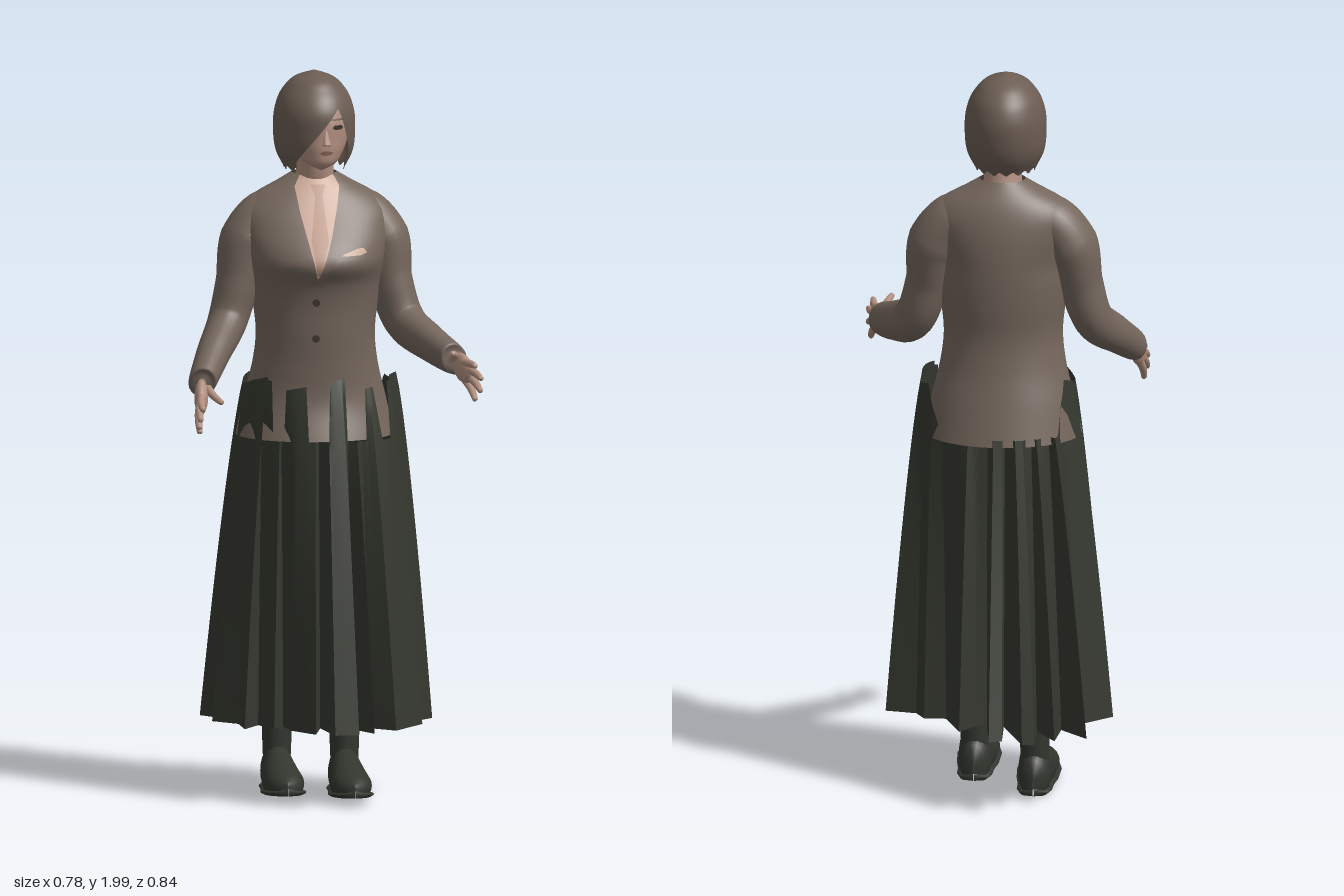
import * as THREE from 'three';
import { toCreasedNormals } from 'three/addons/utils/BufferGeometryUtils.js';

const mat = (name, color, side = THREE.FrontSide) => {
  const m = new THREE.MeshStandardMaterial({ color, side });
  m.name = name;
  return m;
};

// Grid surface from f(u, v) -> [x, y, z]; wraps in u when closed
function loft(nu, nv, f, closed = true) {
  const pos = [], idx = [], cols = closed ? nu : nu + 1;
  for (let j = 0; j <= nv; j++)
    for (let i = 0; i < cols; i++) pos.push(...f(i / nu, j / nv));
  for (let j = 0; j < nv; j++)
    for (let i = 0; i < nu; i++) {
      const k = (i + 1) % cols, a = j * cols + i, b = j * cols + k, c = a + cols, d = b + cols;
      idx.push(a, c, b, b, c, d);
    }
  const g = new THREE.BufferGeometry();
  g.setAttribute('position', new THREE.Float32BufferAttribute(pos, 3));
  g.setIndex(idx);
  g.computeVertexNormals();
  return g;
}

// Upright form from rows [y, half width, front z, back z], lowest row first
function form(cx, rows) {
  const interp = new THREE.CubicInterpolant(rows.map(r => r[0]), rows.flatMap(r => r.slice(1)), 3);
  const at = y => {
    const [hx, zf, zb] = interp.evaluate(y);
    return { hx: Math.max(hx, 0.0005), zc: (zf + zb) / 2, hz: Math.max((zf - zb) / 2, 0.0005) };
  };
  return {
    lo: rows[0][0], hi: rows[rows.length - 1][0],
    point(a, y) {
      const r = at(y);
      return [cx + r.hx * Math.sin(a), y, r.zc + r.hz * Math.cos(a)];
    },
    frontZ(x, y) {
      const r = at(y), q = (x - cx) / r.hx;
      return r.zc + r.hz * Math.sqrt(Math.max(0, 1 - q * q));
    },
  };
}
const formGeo = (s, nu, nv, bottom = () => s.lo) => loft(nu, nv, (u, v) => {
  const a = u * Math.PI * 2;
  return s.point(a, s.hi + (bottom(a) - s.hi) * v);
});

// Thin plate lying on the front of a form, from rows [y, x0, x1], top row first
function plate(s, rows, lift) {
  const n = rows.length - 1;
  return loft(8, n * 6, (u, v) => {
    const t = v * n, i = Math.min(n - 1, Math.floor(t)), f = t - i;
    const [y, x0, x1] = rows[i].map((p, k) => p + (rows[i + 1][k] - p) * f);
    const x = x0 + (x1 - x0) * u;
    return [x, y, s.frontZ(x, y) + lift];
  }, false);
}

// Tapered tube through points [x, y, z, radius]; depth widens it front to back
function limb(pts, nu = 16, nv = 24, depth = 1) {
  const curve = new THREE.CatmullRomCurve3(pts.map(p => new THREE.Vector3(...p)));
  const n = pts.length - 1, frames = [];
  const side = new THREE.Vector3(0.13, 0.2, 0.97);
  for (let j = 0; j <= nv; j++) {
    const t = curve.getTangent(j / nv);
    side.addScaledVector(t, -side.dot(t)).normalize();
    frames.push([side.clone(), new THREE.Vector3().crossVectors(t, side)]);
  }
  return loft(nu, nv, (u, v) => {
    const [N, B] = frames[Math.round(v * nv)], i = Math.min(n - 1, Math.floor(v * n)), a = u * Math.PI * 2;
    const r = THREE.MathUtils.lerp(pts[i][3], pts[i + 1][3], v * n - i);
    return curve.getPoint(v).addScaledVector(N, r * depth * Math.cos(a)).addScaledVector(B, -r * Math.sin(a)).toArray();
  });
}

export function createModel() {
  const model = new THREE.Group();
  const jacketM = mat('jacket brown', 0x74665c, THREE.DoubleSide);
  const hairM = mat('hair brown', 0x6c5d53, THREE.DoubleSide);
  const skirtM = mat('skirt dark green grey', 0x35382f, THREE.DoubleSide);
  const shoeM = mat('shoe dark', 0x33362f);
  const skinM = mat('skin', 0xb29080);
  const shirtM = mat('shirt pale', 0xc9a694, THREE.DoubleSide);
  const tieM = mat('tie rose', 0xb8917d, THREE.DoubleSide);
  const darkM = mat('detail dark', 0x3a302b, THREE.DoubleSide);
  const lipM = mat('lip', 0x8a6256, THREE.DoubleSide);
  const add = (name, geo, m, parent = model) => {
    const mesh = new THREE.Mesh(geo, m);
    mesh.name = name;
    parent.add(mesh);
    return mesh;
  };

  // Jacket body
  const torso = form(-0.015, [
    [1.0, 0.215, 0.138, -0.224], [1.1, 0.194, 0.106, -0.2], [1.2, 0.17, 0.106, -0.177],
    [1.28, 0.162, 0.113, -0.168], [1.38, 0.172, 0.122, -0.176], [1.43, 0.178, 0.136, -0.179], [1.48, 0.184, 0.166, -0.18],
    [1.52, 0.192, 0.15, -0.179], [1.57, 0.202, 0.11, -0.174], [1.62, 0.2, 0.07, -0.163],
    [1.66, 0.16, 0.042, -0.148], [1.69, 0.105, 0.02, -0.13], [1.715, 0.062, 0.0, -0.112],
  ]);
  add('jacket', formGeo(torso, 56, 60), jacketM);

  // Shirt front, tie, lapels, pocket square and buttons
  add('shirtFront', plate(torso, [[1.712, -0.06, 0.032], [1.68, -0.08, 0.048], [1.56, -0.055, 0.014], [1.45, -0.031, -0.026]], 0.003), shirtM);
  add('tie', plate(torso, [[1.69, -0.035, 0.006], [1.66, -0.024, -0.004], [1.55, -0.044, 0.004], [1.46, -0.031, -0.025]], 0.006), tieM);
  add('rightLapel', plate(torso, [[1.69, -0.098, -0.078], [1.62, -0.12, -0.068], [1.58, -0.105, -0.06], [1.44, -0.034, -0.029]], 0.007), jacketM);
  add('leftLapel', plate(torso, [[1.69, 0.046, 0.066], [1.62, 0.031, 0.09], [1.58, 0.022, 0.075], [1.44, -0.029, -0.02]], 0.007), jacketM);
  add('pocketSquare', plate(torso, [[1.528, 0.085, 0.1], [1.516, 0.045, 0.11], [1.51, 0.035, 0.09]], 0.005), shirtM);
  for (const y of [1.38, 1.28]) {
    const b = add('button', new THREE.CylinderGeometry(0.01, 0.01, 0.009, 12), darkM);
    b.rotation.x = Math.PI / 2;
    b.position.set(-0.03, y, torso.frontZ(-0.03, y) + 0.003);
  }

  // Neck and head
  const neck = form(-0.015, [[1.66, 0.06, 0.0, -0.115], [1.71, 0.052, 0.015, -0.1], [1.8, 0.05, 0.03, -0.09]]);
  add('neck', formGeo(neck, 24, 8), skinM);
  const head = form(-0.01, [
    [1.735, 0.0, 0.07, 0.05], [1.75, 0.036, 0.097, 0.0], [1.78, 0.062, 0.107, -0.06],
    [1.82, 0.078, 0.109, -0.09], [1.88, 0.085, 0.105, -0.1], [1.95, 0.065, 0.06, -0.08], [1.975, 0.0, 0.0, 0.0],
  ]);
  add('head', formGeo(head, 40, 32), skinM);
  const nose = add('nose', new THREE.ConeGeometry(0.013, 0.05, 8), skinM);
  nose.position.set(0.0, 1.833, 0.111);
  nose.rotation.x = -0.25;
  add('eye', plate(head, [[1.862, 0.024, 0.042], [1.856, 0.016, 0.048], [1.85, 0.024, 0.042]], 0.003), darkM);
  add('eyebrow', plate(head, [[1.88, 0.014, 0.05], [1.875, 0.012, 0.052]], 0.003), hairM);
  add('mouth', plate(head, [[1.793, -0.008, 0.008], [1.787, -0.02, 0.02], [1.781, -0.008, 0.008]], 0.003), lipM);

  // Bobbed hair with a fringe swept over one side of the face
  const hairForm = form(-0.02, [
    [1.735, 0.082, 0.085, -0.105], [1.78, 0.104, 0.112, -0.135], [1.84, 0.111, 0.124, -0.15],
    [1.9, 0.106, 0.123, -0.148], [1.95, 0.084, 0.092, -0.122], [1.985, 0.045, 0.045, -0.072], [2.0, 0.0, -0.012, -0.013],
  ]);
  add('hair', formGeo(hairForm, 96, 36, a => {
    const x = -0.02 + 0.108 * Math.sin(a);
    const strand = 1.737 + 0.006 * Math.sin(a * 15);
    if (Math.cos(a) < 0.3 || x < -0.09 || x > 0.076) return strand;
    return x < 0.035 ? 1.755 + (x + 0.09) / 0.125 * 0.155 : 1.91 - (x - 0.035) / 0.041 * 0.16;
  }), hairM);

  // Sleeves
  const arms = [
    { side: 'left', path: [[0.04, 1.622, -0.06, 0.05], [0.12, 1.602, -0.058, 0.064], [0.172, 1.53, -0.05, 0.072], [0.19, 1.42, -0.035, 0.06],
      [0.225, 1.312, -0.012, 0.056], [0.285, 1.262, 0.11, 0.047], [0.334, 1.235, 0.23, 0.037], [0.335, 1.235, 0.234, 0.012]],
      wrist: [0.335, 1.235, 0.225],
      tips: [[0.372, 1.24, 0.4], [0.386, 1.208, 0.42], [0.386, 1.172, 0.408], [0.376, 1.142, 0.37]], thumb: [0.316, 1.268, 0.345] },
    { side: 'right', path: [[-0.07, 1.622, -0.06, 0.05], [-0.15, 1.602, -0.058, 0.064], [-0.202, 1.53, -0.05, 0.072], [-0.226, 1.42, -0.035, 0.06],
      [-0.257, 1.315, -0.012, 0.054], [-0.31, 1.24, 0.1, 0.046], [-0.352, 1.18, 0.21, 0.037], [-0.353, 1.179, 0.214, 0.012]],
      wrist: [-0.353, 1.18, 0.205],
      tips: [[-0.37, 1.128, 0.378], [-0.377, 1.1, 0.384], [-0.378, 1.075, 0.362], [-0.372, 1.056, 0.32]], thumb: [-0.312, 1.14, 0.33] },
  ];
  for (const { side, path, wrist, tips, thumb } of arms) {
    add(side + 'Sleeve', limb(path, 24, 49, 1.2), jacketM);
    // Hand: palm and fingers
    const hand = new THREE.Group();
    hand.name = side + 'Hand';
    model.add(hand);
    const w = new THREE.Vector3(...wrist), mid = new THREE.Vector3();
    tips.forEach(t => mid.add(new THREE.Vector3(...t).multiplyScalar(0.25)));
    const palm = add('palm', new THREE.SphereGeometry(1, 18, 12), skinM, hand);
    palm.scale.set(0.019, 0.038, 0.062);
    palm.position.lerpVectors(w, mid, 0.36);
    palm.lookAt(mid);
    [...tips, thumb].forEach((t, i) => {
      const tip = new THREE.Vector3(...t), base = new THREE.Vector3().lerpVectors(w, tip, i < 4 ? 0.45 : 0.3);
      const m = new THREE.Vector3().lerpVectors(base, tip, 0.5);
      m.x += Math.sign(tip.x) * 0.004;
      const end = new THREE.Vector3().lerpVectors(base, tip, 0.96);
      add(i < 4 ? 'finger' : 'thumb', limb([[...base, 0.012], [...m, 0.0105], [...end, 0.0075], [...tip, 0.0005]], 10, 12), skinM, hand);
    });
  }

  // Pleated skirt: hem corners [x, z], front to left to back to right
  const hem = [[0, 0.31], [0.065, 0.31], [0.062, 0.2], [0.11, 0.285], [0.108, 0.18], [0.175, 0.235], [0.26, 0.12],
    [0.225, 0.09], [0.3, 0.01], [0.235, -0.04], [0.3, -0.1], [0.215, -0.12], [0.19, -0.17], [0.13, -0.17],
    [0.085, -0.3], [0.045, -0.24], [0.015, -0.23], [-0.003, -0.4], [-0.038, -0.385], [-0.032, -0.24], [-0.095, -0.42],
    [-0.128, -0.42], [-0.125, -0.28], [-0.18, -0.375], [-0.19, -0.26], [-0.265, -0.345], [-0.235, -0.2], [-0.32, -0.115],
    [-0.265, -0.05], [-0.3, 0], [-0.235, 0.06], [-0.23, 0.16], [-0.185, 0.09], [-0.15, 0.165], [-0.12, 0.12],
    [-0.11, 0.2], [-0.05, 0.285], [-0.025, 0.17]];
  const gaps = [[-0.14, -0.11], [-0.055, 0.005], [0.05, 0.1], [0.13, 0.165]];
  const zc = -0.04, hemY = 0.22;
  const skirt = loft(hem.length * 6, 24, (u, v) => {
    const t = u * hem.length, i = Math.floor(t + 1e-6), f = t - i, p = hem[i], q = hem[(i + 1) % hem.length];
    const hx = p[0] + (q[0] - p[0]) * f, hz = p[1] + (q[1] - p[1]) * f - zc, len = Math.hypot(hx, hz);
    const tx = 0.205 * hx / len, tz = (hz > 0 ? 0.165 : 0.15) * hz / len;
    // ragged waist: low at the back, notched at the front
    let top = 1.155 + 0.015 * Math.sin(u * 40);
    if (tz + zc < -0.11) top = Math.max(1.02, 1.155 - (-0.11 - tz - zc) * 4);
    else if (tz > 0.06 && gaps.some(g => tx > g[0] && tx < g[1])) top = 1.0;
    const y = top + (hemY - top) * v, s = (1.17 - y) / (1.17 - hemY);
    return [tx + (hx - tx) * Math.pow(s, 0.75), y, zc + tz + (hz - tz) * Math.pow(s, hz > 0 ? 0.85 : 1)];
  });
  add('skirt', toCreasedNormals(skirt, 0.6), skirtM);

  // Legs and shoes, the left foot a step ahead
  for (const { side, x, z, base } of [{ side: 'left', x: 0.063, z: -0.015, base: 0.02 }, { side: 'right', x: -0.108, z: -0.13, base: 0.012 }]) {
    add(side + 'Leg', limb([[x * 1.1, 0.85, -0.04, 0.075], [x * 1.05, 0.5, z, 0.055], [x, 0.28, z, 0.045], [x, 0.1, z, 0.038]]), shoeM);
    // sections [z from ankle, half width, height]
    const upper = [[-0.058, 0.002, 0.05], [-0.05, 0.034, 0.1], [-0.01, 0.044, 0.125], [0.04, 0.045, 0.122],
      [0.1, 0.052, 0.1], [0.17, 0.055, 0.078], [0.22, 0.045, 0.058], [0.25, 0.022, 0.04], [0.258, 0.001, 0.03]];
    const shoeLoft = (grow, height) => loft(24, upper.length - 1, (u, v) => {
      const [dz, w, h] = upper[Math.round(v * (upper.length - 1))], a = u * Math.PI * 2;
      const lift = Math.max(0, 0.4 - 0.6 * Math.sin(a)) * (height || h);
      const toeSpring = 0.018 * Math.max(0, (dz - 0.1) / 0.16);
      return [x + w * grow * Math.cos(a), base + lift + toeSpring, z + dz * (grow > 1 ? 1.02 : 1)];
    });
    add(side + 'Shoe', shoeLoft(1, 0), shoeM);
    add(side + 'Sole', shoeLoft(1.1, 0.02), shoeM);
  }
  return model;
}
